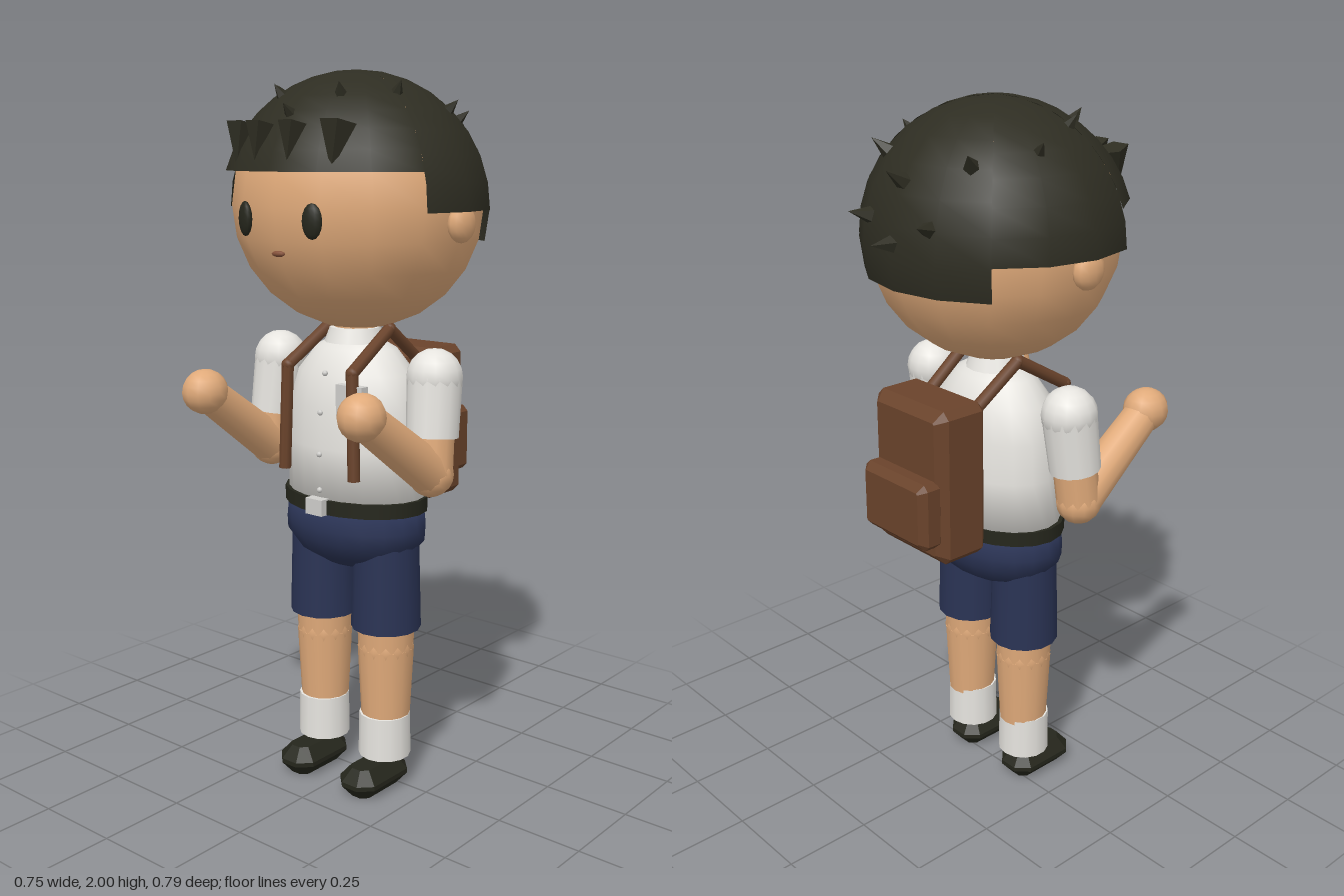
import * as THREE from 'three';

const mat = (name, color, opts = {}) => {
  const m = new THREE.MeshStandardMaterial({ color, ...opts });
  m.name = name;
  return m;
};

export function createModel() {
  const skin = mat('skin', 0xe0aa7a);
  const hairMat = mat('hair', 0x2e2d22, { side: THREE.DoubleSide });
  const spikeMat = mat('hair spikes', 0x2e2d22, { flatShading: true });
  const black = mat('black leather', 0x25261c);
  const white = mat('white cloth', 0xe6e4df);
  const metal = mat('pale trim', 0xcfcecb);
  const navy = mat('navy cloth', 0x2a3354);
  const brown = mat('brown leather', 0x6a432b);
  const lip = mat('lip', 0x84513a);

  const root = new THREE.Group();
  root.name = 'schoolboy';
  const add = (name, geo, material, x = 0, y = 0, z = 0) => {
    const m = new THREE.Mesh(geo, material);
    m.name = name;
    m.position.set(x, y, z);
    root.add(m);
    return m;
  };
  const V = (x, y, z) => new THREE.Vector3(x, y, z);
  const ball = (rx, ry, rz, ws = 16, hs = 12) => new THREE.SphereGeometry(1, ws, hs).scale(rx, ry, rz);

  // Tapered cylinder running from a to b
  const limb = (name, a, b, ra, rb, material, sides = 12) => {
    const m = add(name, new THREE.CylinderGeometry(rb, ra, a.distanceTo(b), sides), material);
    m.position.copy(a).add(b).multiplyScalar(0.5);
    m.quaternion.setFromUnitVectors(V(0, 1, 0), b.clone().sub(a).normalize());
    return m;
  };

  // Centred box with chamfered front and back rims; cut trims the outline corners
  const bevelBox = (w, h, d, size, thick, cut = 0.004) => {
    const x = w / 2 - size, y = h / 2 - size;
    const outline = [[x, y - cut], [x - cut, y], [cut - x, y], [-x, y - cut],
      [-x, cut - y], [cut - x, -y], [x - cut, -y], [x, cut - y]];
    const shape = new THREE.Shape(outline.map(([px, py]) => new THREE.Vector2(px, py)));
    return new THREE.ExtrudeGeometry(shape, {
      depth: d - 2 * thick, bevelEnabled: true, bevelSize: size, bevelThickness: thick, bevelSegments: 1,
    }).translate(0, 0, thick - d / 2);
  };

  const lathe = (pts, depthScale) =>
    new THREE.LatheGeometry(pts.map(([r, y]) => new THREE.Vector2(r, y)), 20).scale(1, 1, depthScale);

  // Head and face
  add('head', ball(0.347, 0.335, 0.335), skin, 0, 1.65, 0);
  for (const s of [-1, 1]) {
    add('ear', ball(0.028, 0.05, 0.05, 12, 8), skin, s * 0.345, 1.61, 0.005);
    const eye = add('eye', ball(0.028, 0.045, 0.014, 12, 8), black, s * 0.115, 1.62, 0.318);
    eye.rotation.y = s * 0.3;
  }
  add('mouth', ball(0.022, 0.008, 0.01, 10, 6), lip, 0, 1.535, 0.318);

  // Hair cap: a short front, longer sides and the longest panel at the nape
  const hairCentre = V(0, 1.64, 0.01), hairSize = V(0.37, 0.36, 0.355);
  const step = Math.PI / 8;
  const panels = [['hairFront', 1, 6, 0.1], ['hairSide', 7, 3, 0], ['hairBack', 10, 4, -0.09], ['hairSide', 14, 3, 0]];
  for (const [name, start, count, drop] of panels) {
    const geo = new THREE.SphereGeometry(1, count, 8, start * step, count * step, 0, Math.acos(drop / 0.36));
    add(name, geo.scale(hairSize.x, hairSize.y, hairSize.z), hairMat).position.copy(hairCentre);
  }

  // Small spikes standing out of the hair: x, y, z of the base, radius, length
  const spike = (x, y, z, r, len) => {
    const n = V(x, y, z).sub(hairCentre);
    const onCap = n.clone().divide(hairSize).normalize().multiply(hairSize).add(hairCentre);
    n.normalize();
    const m = add('hairSpike', new THREE.ConeGeometry(r, len, 5), spikeMat);
    m.position.copy(onCap).addScaledVector(n, len * 0.5 - 0.012);
    m.quaternion.setFromUnitVectors(V(0, 1, 0), n);
  };
  spike(0, 1.67, -0.34, 0.026, 0.07);
  spike(0, 1.81, -0.28, 0.026, 0.07);
  spike(0, 1.88, 0.265, 0.02, 0.045);
  for (const s of [-1, 1]) {
    spike(s * 0.115, 1.72, -0.31, 0.025, 0.065);
    spike(s * 0.165, 1.87, -0.22, 0.024, 0.06);
    spike(s * 0.24, 1.89, -0.07, 0.02, 0.045);
    spike(s * 0.19, 1.93, 0.08, 0.02, 0.045);
    spike(s * 0.1, 1.93, 0.19, 0.02, 0.045);
  }

  // Fringe tufts hanging point down over the forehead
  for (const [x, len, r] of [[-0.17, 0.115, 0.045], [-0.07, 0.095, 0.038], [0.045, 0.095, 0.038], [0.16, 0.12, 0.048]]) {
    const z = 0.01 + 0.355 * Math.sqrt(1 - (x / 0.37) ** 2 - (0.17 / 0.36) ** 2);
    const tuft = add('fringeTuft', new THREE.ConeGeometry(r, len, 5), spikeMat, x, 1.86 - len / 2, z);
    tuft.rotation.set(Math.PI - 0.25, 0, 0);
  }

  // Shirt
  add('shirt', lathe([[0, 0.82], [0.215, 0.83], [0.215, 1.0], [0.208, 1.11], [0.18, 1.2],
    [0.125, 1.265], [0.075, 1.29], [0, 1.295]], 0.72), white, 0, 0, 0.01);
  add('collar', new THREE.CylinderGeometry(0.07, 0.085, 0.04, 14), white, 0, 1.3, 0.015);
  add('neck', new THREE.CylinderGeometry(0.06, 0.06, 0.1, 12), skin, 0, 1.32, 0.01);
  add('shirtPocket', new THREE.BoxGeometry(0.09, 0.085, 0.025), metal, 0.105, 1.143, 0.155);
  for (const y of [0.885, 0.985, 1.1, 1.205]) {
    add('button', ball(0.008, 0.008, 0.008, 8, 6), metal, 0, y, y > 1.2 ? 0.142 : y > 1.05 ? 0.162 : 0.167);
  }

  // Belt and shorts
  add('belt', new THREE.CylinderGeometry(0.225, 0.225, 0.04, 20).scale(1, 1, 0.72), black, 0, 0.84, 0.013);
  add('buckle', new THREE.BoxGeometry(0.058, 0.045, 0.03), metal, 0, 0.842, 0.178);
  add('shortsSeat', lathe([[0, 0.645], [0.1, 0.652], [0.18, 0.69], [0.218, 0.735], [0.22, 0.77], [0.214, 0.825], [0, 0.83]], 0.72),
    navy, 0, 0, 0.013);

  for (const s of [-1, 1]) {
    // Leg
    const x = s * 0.115, z = 0.018;
    add('shortsLeg', new THREE.CylinderGeometry(0.092, 0.099, 0.25, 14), navy, x, 0.605, z);
    add('knee', ball(0.08, 0.08, 0.08, 14, 10), skin, x, 0.42, z);
    add('thigh', new THREE.CylinderGeometry(0.082, 0.078, 0.1, 14), skin, x, 0.46, z);
    add('shin', new THREE.CylinderGeometry(0.08, 0.068, 0.24, 14), skin, x, 0.3, z);
    add('sock', new THREE.CylinderGeometry(0.073, 0.075, 0.125, 14), white, x, 0.158, 0.022);
    const shoe = bevelBox(0.125, 0.22, 0.085, 0.03, 0.036, 0.018).rotateX(-Math.PI / 2);
    add('shoe', shoe, black, x, 0.0435, 0.07);

    // Arm, bent forward at the elbow
    const shoulder = V(s * 0.277, 1.21, 0.02), elbow = V(s * 0.29, 0.955, 0.05), hand = V(s * 0.278, 1.148, 0.322);
    const cuff = shoulder.clone().lerp(elbow, 0.62);
    add('shoulder', ball(0.076, 0.076, 0.076, 14, 10), white).position.copy(shoulder);
    limb('sleeve', shoulder, cuff, 0.074, 0.07, white, 14);
    limb('upperArm', cuff, elbow, 0.06, 0.06, skin);
    add('elbow', ball(0.062, 0.062, 0.062, 12, 10), skin).position.copy(elbow);
    limb('forearm', elbow, hand, 0.06, 0.05, skin);
    add('hand', ball(0.062, 0.062, 0.066, 12, 10), skin).position.copy(hand);

    // Backpack strap over the shoulder
    const path = [V(s * 0.095, 1.2, -0.17), V(s * 0.105, 1.32, -0.005), V(s * 0.115, 1.22, 0.165), V(s * 0.125, 0.93, 0.17)];
    for (let i = 0; i < 3; i++) {
      limb('strap', path[i], path[i + 1], 0.017, 0.017, brown, 8);
      if (i) add('strapBend', ball(0.018, 0.018, 0.018, 8, 6), brown).position.copy(path[i]);
    }
  }

  // Backpack with a front pouch
  add('backpack', bevelBox(0.29, 0.435, 0.17, 0.028, 0.028), brown, 0, 1.032, -0.225);
  add('backpackPouch', bevelBox(0.26, 0.19, 0.08, 0.02, 0.02), brown, 0, 0.965, -0.323);

  return root;
}
